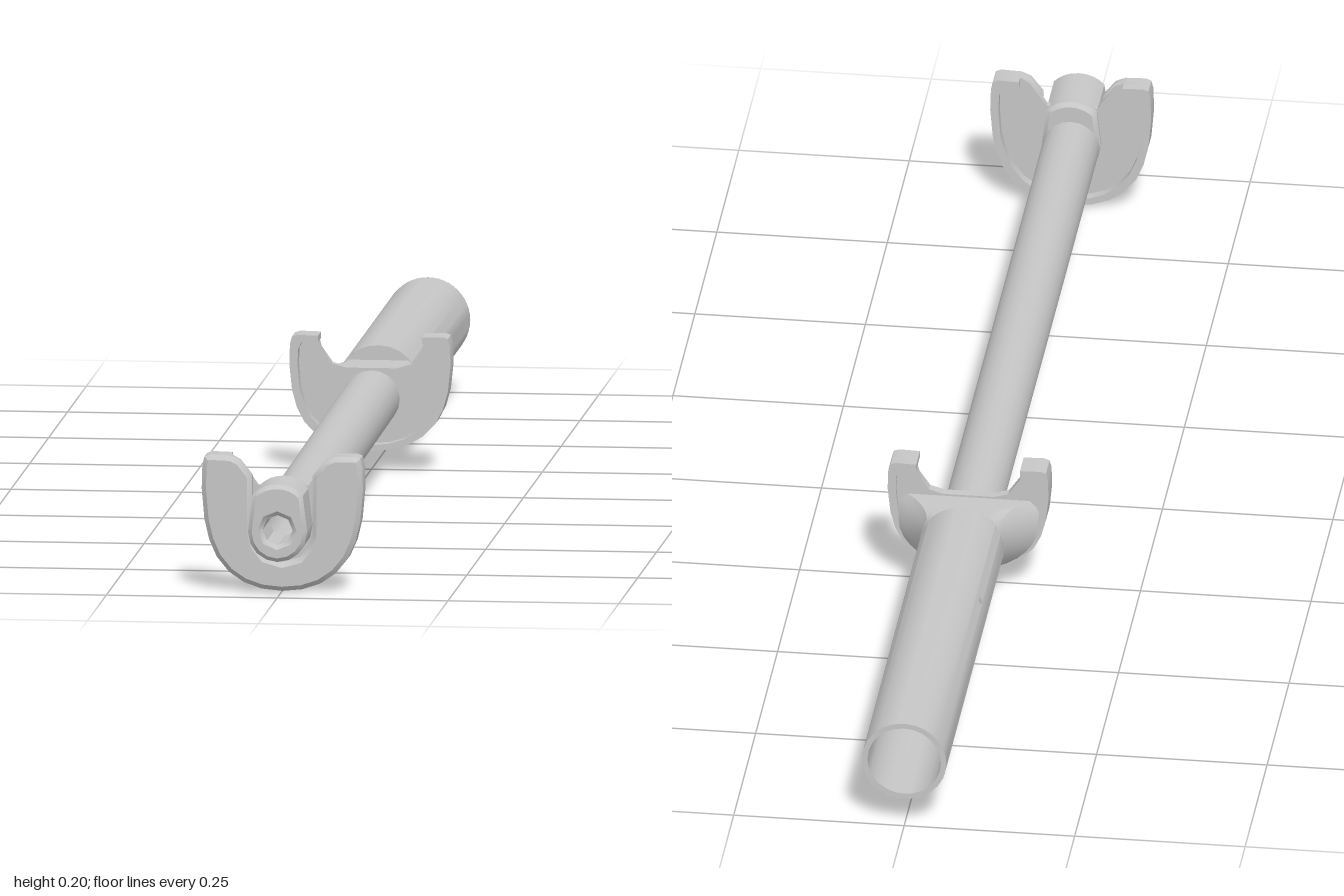
import * as THREE from 'three';
import { toCreasedNormals, mergeGeometries } from 'three/addons/utils/BufferGeometryUtils.js';

const steel = new THREE.MeshStandardMaterial({ color: 0xc6c6c6, side: THREE.DoubleSide });
steel.name = 'steel grey';

// Right half of the U-shaped cup outline, bottom to tip
const OUTER = [[0, 0.001], [0.03, 0.004], [0.056, 0.013], [0.078, 0.028], [0.096, 0.05], [0.107, 0.075],
  [0.114, 0.105], [0.118, 0.15], [0.117, 0.185], [0.114, 0.197], [0.106, 0.2]];
const INNER = [[0.1, 0.188], [0.105, 0.175], [0.106, 0.15], [0.103, 0.108], [0.096, 0.08], [0.086, 0.057],
  [0.07, 0.037], [0.05, 0.022], [0.028, 0.014], [0, 0.011]];
const CHANNEL = [[0.062, 0.193], [0.044, 0.17], [0.044, 0.085], [0.038, 0.066], [0.025, 0.05], [0, 0.043]];
const TUBE_Y = 0.108, TUBE_R = 0.062;

function mesh(name, geometry, crease = 0.6) {
  const m = new THREE.Mesh(toCreasedNormals(geometry, crease), steel);
  m.name = name;
  return m;
}

// Closed symmetric shape from its right half, which starts and may end on x = 0
function mirrored(half) {
  const left = half.filter(p => p[0] > 0).reverse().map(([x, y]) => [-x, y]);
  return new THREE.Shape([...half, ...left].map(([x, y]) => new THREE.Vector2(x, y)));
}

function roundHole(shape, x, y, r) {
  const p = new THREE.Path();
  p.absarc(x, y, r, 0, Math.PI * 2, true);
  shape.holes.push(p);
  return shape;
}

// Solid slab between two z values, optionally with chamfered edges
function slab(shape, z0, z1, bevel = 0, segments = 6) {
  const g = new THREE.ExtrudeGeometry(shape, {
    depth: z1 - z0 - 2 * bevel, bevelEnabled: bevel > 0, bevelSize: bevel, bevelOffset: -bevel,
    bevelThickness: bevel, bevelSegments: 1, curveSegments: segments,
  });
  return g.translate(0, 0, z0 + bevel);
}

// Hollow pipe along z
function pipe(outer, inner, z0, z1, sides) {
  const s = roundHole(new THREE.Shape().absarc(0, 0, outer, 0, Math.PI * 2), 0, 0, inner);
  return slab(s, z0, z1, 0, sides);
}

// Cup with a web and a hooked rim, open toward -z
function makeCup(name, saddle) {
  const cup = new THREE.Group();
  cup.name = name;
  const web = roundHole(mirrored([...OUTER, ...saddle]), 0, 0.1, 0.036);
  cup.add(mesh(name + 'Web', slab(web, 0.015, 0.025, 0, 16)));
  const rim = mirrored([...OUTER, [0.076, 0.199], [0.076, 0.188], ...INNER]);
  cup.add(mesh(name + 'Rim', slab(rim, 0, 0.03)));
  return cup;
}

// Sleeve wall: two curved parts and two flat strips drilled for a pin
function drilledWall(r, z0, z1) {
  const step = Math.PI / 12, len = z1 - z0, parts = [];
  for (const [start, n] of [[127.5, 7], [247.5, 15]]) {
    const g = new THREE.CylinderGeometry(r, r, len, n, 1, true, start * Math.PI / 180, n * step);
    parts.push(g.rotateX(Math.PI / 2).translate(0, 0, (z0 + z1) / 2));
  }
  const w = r * Math.sin(step / 2);
  for (const side of [-1, 1]) {
    const s = new THREE.Shape([[-w, -z1], [w, -z1], [w, -z0], [-w, -z0]].map(p => new THREE.Vector2(...p)));
    const g = new THREE.ShapeGeometry(roundHole(s, 0, 0.555, w * 0.92), 6);
    g.rotateX(-Math.PI / 2).translate(0, r * Math.cos(step / 2), 0).rotateZ(side * Math.PI / 3);
    parts.push(g);
  }
  return mergeGeometries(parts);
}

// Flared neck lofted from the sleeve to the rear cup, cut flat on top
function neckGeometry() {
  const rows = 6, n = 32, pos = [], idx = [];
  for (let i = 0; i <= rows; i++) {
    const t = i / rows, w = TUBE_R + 0.046 * t ** 2.2, h = TUBE_R + 0.015 * t ** 1.5;
    for (let j = 0; j < n; j++) {
      const a = j / n * Math.PI * 2;
      pos.push(w * Math.cos(a), Math.min(TUBE_Y + h * Math.sin(a), 0.148), -0.345 + 0.078 * t);
      if (i < rows) {
        const p = i * n + j, q = i * n + (j + 1) % n;
        idx.push(p, q, q + n, p, q + n, p + n);
      }
    }
  }
  const g = new THREE.BufferGeometry();
  g.setAttribute('position', new THREE.Float32BufferAttribute(pos, 3));
  g.setIndex(idx);
  g.computeVertexNormals();
  return g;
}

export function createModel() {
  const model = new THREE.Group();
  model.name = 'cuppedRod';

  // Rear sleeve
  const sleeve = new THREE.Group();
  sleeve.name = 'sleeve';
  sleeve.position.y = TUBE_Y;
  sleeve.add(mesh('sleeveOuterWall', drilledWall(TUBE_R, -1, -0.34)));
  sleeve.add(mesh('sleeveInnerWall', drilledWall(0.054, -1, -0.34)));
  sleeve.add(mesh('sleeveEndRing', new THREE.RingGeometry(0.054, TUBE_R, 24).rotateY(Math.PI).translate(0, 0, -1)));
  sleeve.add(mesh('sleeveShoulder', new THREE.RingGeometry(0.034, TUBE_R, 24).translate(0, 0, -0.34)));
  model.add(sleeve);
  model.add(mesh('neck', neckGeometry()));

  // Hollow rod, dropping slightly toward the front
  const rodGeometry = pipe(0.0415, 0.034, -0.345, 0.92, 10);
  const p = rodGeometry.attributes.position;
  for (let i = 0; i < p.count; i++) p.setY(i, p.getY(i) + 0.103 - 0.008 * p.getZ(i));
  model.add(mesh('rod', rodGeometry));

  // Front cup with a raised face that leaves a channel around the hub
  const front = makeCup('frontCup', [[0.076, 0.199], [0.062, 0.19], [0.037, 0.155]]);
  front.position.z = 0.897;
  front.add(mesh('frontCupFace', slab(mirrored([...OUTER, [0.076, 0.199], ...CHANNEL]), 0.018, 0.041, 0.007)));
  model.add(front);

  // Rear cup, facing the front one
  const rear = makeCup('rearCup', [[0.08, 0.199], [0.074, 0.175], [0.058, 0.148], [0.037, 0.141]]);
  rear.rotation.y = Math.PI;
  rear.scale.set(1, 0.85, 1.4);
  rear.position.set(0, 0.03, -0.23);
  model.add(rear);

  // Front hub with an arched top and a faceted bore
  const hub = new THREE.Shape();
  hub.moveTo(0.043, 0.1);
  hub.lineTo(0.037, 0.151);
  hub.quadraticCurveTo(0.022, 0.167, 0, 0.167);
  hub.quadraticCurveTo(-0.022, 0.167, -0.037, 0.151);
  hub.lineTo(-0.043, 0.1);
  hub.absarc(0, 0.096, 0.043, Math.PI, Math.PI * 2, false);
  roundHole(hub, 0, 0.1, 0.022);
  model.add(mesh('hub', slab(hub, 0.9, 1, 0.006, 4)));

  return model;
}
